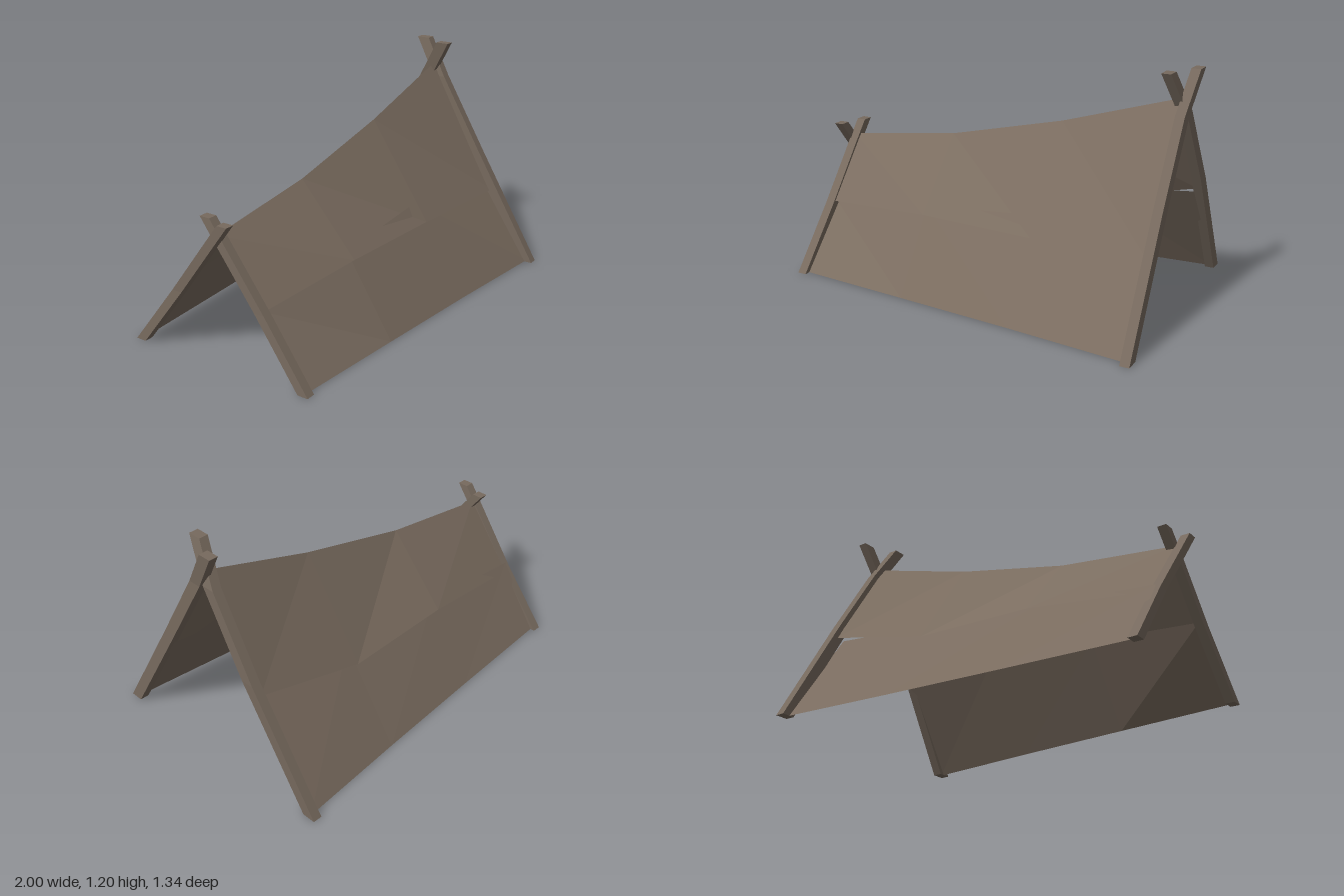
import * as THREE from 'three';

const quad = (a, b, c, d) => [[a, b, c], [a, c, d]];

function flatGeometry(tris) {
  const geo = new THREE.BufferGeometry();
  geo.setAttribute('position', new THREE.Float32BufferAttribute(tris.flat(2), 3));
  geo.computeVertexNormals();
  return geo;
}

// Thin sheet stretched between a top edge and a bottom edge
function sheet(top, bottom) {
  const tris = [];
  for (let i = 0; i < top.length - 1; i++) {
    tris.push(...quad(top[i], bottom[i], bottom[i + 1], top[i + 1]));
  }
  return flatGeometry(tris);
}

// Closed beam through a row of four-cornered cross-sections
function beam(rings) {
  const tris = [];
  for (let i = 0; i < rings.length - 1; i++) {
    for (let k = 0; k < 4; k++) {
      const n = (k + 1) % 4;
      tris.push(...quad(rings[i][k], rings[i][n], rings[i + 1][n], rings[i + 1][k]));
    }
  }
  tris.push(...quad(...[...rings[0]].reverse()), ...quad(...rings[rings.length - 1]));
  // Turn every triangle outward if the enclosed volume comes out negative
  let volume = 0;
  for (const [a, b, c] of tris) {
    volume += new THREE.Vector3(...a).dot(new THREE.Vector3(...b).cross(new THREE.Vector3(...c)));
  }
  if (volume < 0) tris.forEach((t) => t.reverse());
  return flatGeometry(tris);
}

export function createModel() {
  const group = new THREE.Group();
  const cloth = new THREE.MeshStandardMaterial({ color: 0x7b6d60, side: THREE.DoubleSide });
  cloth.name = 'brown cloth';
  const wood = new THREE.MeshStandardMaterial({ color: 0x776a5e });
  wood.name = 'weathered wood';

  const add = (name, geo, mat) => {
    const mesh = new THREE.Mesh(geo, mat);
    mesh.name = name;
    group.add(mesh);
  };

  // Each slope has an upper sheet whose hem hangs outside the lower sheet.
  // Stations run from the low end to the tall end; hems and lower tops are [y, z].
  const ridge = [[-0.945, 0.645, 0], [-0.31, 0.73, 0], [0.32, 0.88, 0], [0.94, 1.07, 0]];
  const slopes = [
    { name: 'front', s: 1, xs: [-0.935, -0.31, 0.32, 0.955],
      hem: [[0.33, 0.25], [0.375, 0.312], [0.375, 0.34], [0.38, 0.39]],
      lowerTop: [[0.33, 0.212], [0.41, 0.268], [0.47, 0.27], [0.535, 0.272]],
      foot: [0.487, 0.53, 0.575, 0.63] },
    { name: 'back', s: -1, xs: [-0.962, -0.31, 0.32, 0.925],
      hem: [[0.3, 0.27], [0.375, 0.312], [0.38, 0.338], [0.53, 0.32]],
      lowerTop: [[0.34, 0.252], [0.403, 0.262], [0.466, 0.264], [0.53, 0.265]],
      foot: [0.478, 0.525, 0.575, 0.63] },
  ];
  for (const { name, s, xs, hem, lowerTop, foot } of slopes) {
    const edge = (points) => points.map(([y, z], i) => [xs[i], y, s * z]);
    add(name + 'UpperCloth', sheet(ridge, edge(hem)), cloth);
    add(name + 'LowerCloth', sheet(edge(lowerTop), edge(foot.map((z) => [0, z]))), cloth);
  }

  // Crossed poles, level at both ends and slightly bowed; path points are [share of height, x]
  const poles = [
    { name: 'tallFrontPole', s: 1, h: 1.2, foot: 0.635, slope: 0.6, w: 0.07,
      path: [[0, 0.96], [0.5, 0.95], [0.83, 0.95], [1, 0.975]] },
    { name: 'tallBackPole', s: -1, h: 1.2, foot: 0.635, slope: 0.6, w: 0.07,
      path: [[0, 0.922], [0.5, 0.942], [0.83, 0.935], [1, 0.892]] },
    { name: 'lowFrontPole', s: 1, h: 0.72, foot: 0.491, slope: 0.77, w: 0.056,
      path: [[0, -0.947], [0.45, -0.933], [0.85, -0.93], [1, -0.927]] },
    { name: 'lowBackPole', s: -1, h: 0.72, foot: 0.476, slope: 0.77, w: 0.056,
      path: [[0, -0.968], [0.45, -0.96], [0.85, -0.972], [1, -0.976]] },
  ];
  for (const { name, s, h, foot, slope, w, path } of poles) {
    const rings = path.map(([t, x]) => {
      const y = t * h, z = foot - slope * y;
      return [[-1, -1], [1, -1], [1, 1], [-1, 1]].map(([i, k]) => [x + i * 0.024, y, s * (z + k * w / 2)]);
    });
    add(name, beam(rings), wood);
  }
  return group;
}
